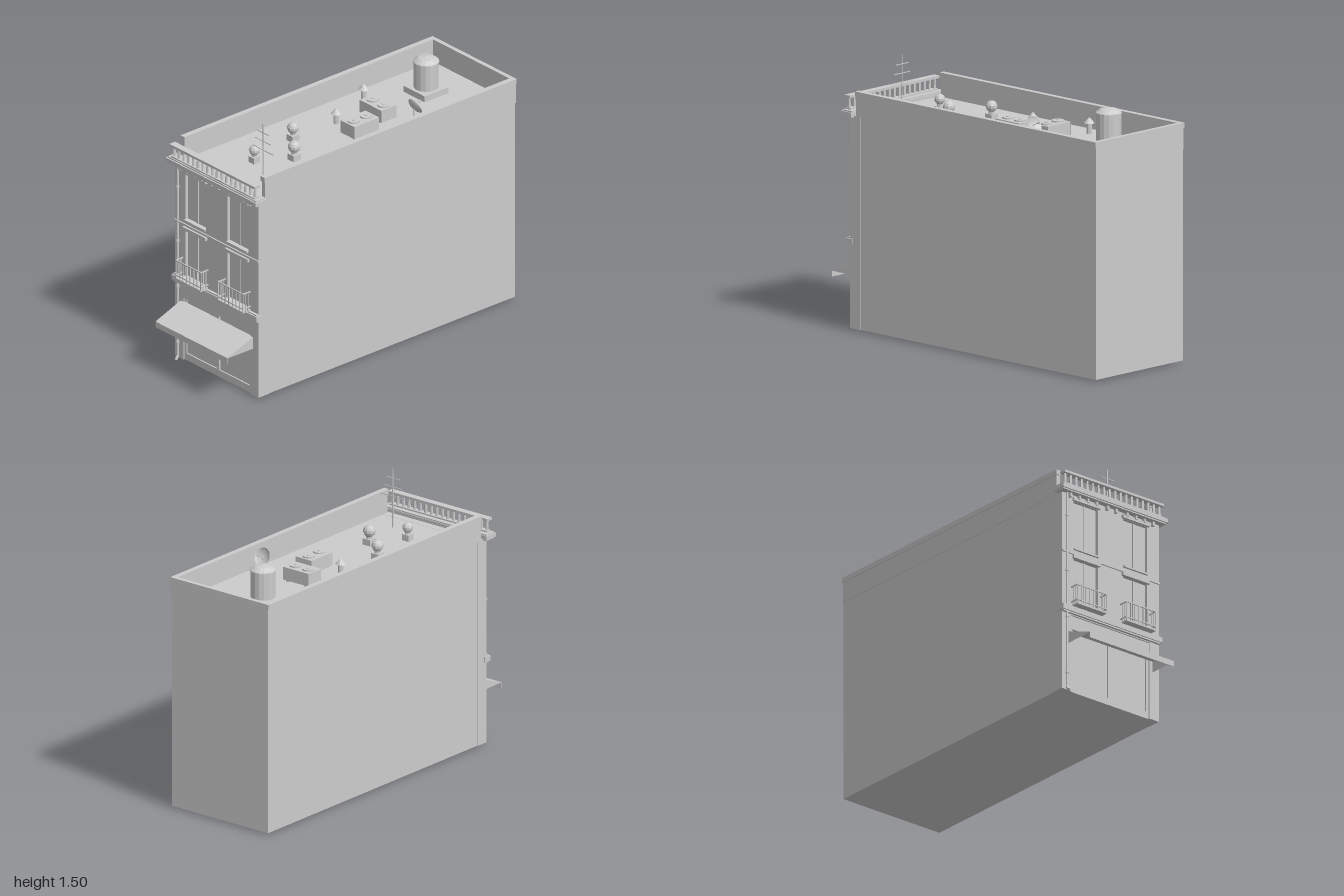
import * as THREE from 'three';

const grey = new THREE.MeshStandardMaterial({ color: 0xcccccc, flatShading: true, side: THREE.DoubleSide });
grey.name = 'stone grey';

function add(parent, name, geometry, x = 0, y = 0, z = 0) {
  const mesh = new THREE.Mesh(geometry, grey);
  mesh.name = name;
  mesh.position.set(x, y, z);
  parent.add(mesh);
  return mesh;
}

// Box given by its min and max on each axis
function box(parent, name, x0, x1, y0, y1, z0, z1) {
  return add(parent, name, new THREE.BoxGeometry(x1 - x0, y1 - y0, z1 - z0),
    (x0 + x1) / 2, (y0 + y1) / 2, (z0 + z1) / 2);
}

// Cylinder or cone standing on y
function tube(parent, name, rTop, rBottom, h, x, y, z, sides = 10) {
  return add(parent, name, new THREE.CylinderGeometry(rTop, rBottom, h, sides), x, y + h / 2, z);
}

function group(parent, name, x = 0, y = 0, z = 0) {
  const g = new THREE.Group();
  g.name = name;
  g.position.set(x, y, z);
  parent.add(g);
  return g;
}

const ROOF = 1.17;
const FRONT = 0.82;

function rectHole(x0, x1, y0, y1) {
  return new THREE.Path([[x0, y0], [x0, y1], [x1, y1], [x1, y0]].map(p => new THREE.Vector2(...p)));
}

function buildFacade(model) {
  const g = group(model, 'facade');
  // Recessed wall behind the openings
  box(g, 'recessedWall', -0.335, 0.335, 0.01, 1.17, 0.745, 0.803);

  // Front layer with shop, door and window openings
  const wall = new THREE.Shape([[-0.335, 0.01], [-0.27, 0.01], [-0.27, 0.455], [0.27, 0.455],
    [0.27, 0.01], [0.335, 0.01], [0.335, 1.17], [-0.335, 1.17]].map(p => new THREE.Vector2(...p)));
  for (const s of [-1, 1]) {
    const a = s * 0.17 - 0.083, b = s * 0.17 + 0.083;
    wall.holes.push(rectHole(a, b, 0.51, 0.79), rectHole(a, b, 0.85, 1.125));
  }
  add(g, 'frontWall', new THREE.ExtrudeGeometry(wall, { depth: 0.019, bevelEnabled: false }), 0, 0, 0.801);

  // Horizontal mouldings
  box(g, 'middleLedge', -0.335, 0.335, 0.46, 0.505, 0.8, 0.835);
  box(g, 'middleLedgeNose', -0.342, 0.342, 0.468, 0.498, 0.8, 0.842);
  box(g, 'floorBand', -0.335, 0.335, 0.812, 0.824, 0.8, 0.828);
  box(g, 'cornice', -0.355, 0.355, 1.16, 1.197, 0.79, 0.857);
  box(g, 'corniceNose', -0.362, 0.362, 1.167, 1.19, 0.785, 0.865);
  for (const x of [-0.285, -0.225, -0.165, -0.105, -0.03, 0.03, 0.105, 0.165, 0.225, 0.285])
    box(g, 'corniceBracket', x - 0.006, x + 0.006, 1.137, 1.16, 0.815, 0.84);

  // Window trim
  for (const cx of [-0.17, 0.17]) {
    for (const y of [0.79, 1.126]) box(g, 'windowHeader', cx - 0.093, cx + 0.093, y, y + 0.018, 0.81, 0.835);
    box(g, 'windowSill', cx - 0.083, cx + 0.083, 0.841, 0.851, 0.81, 0.832);
    for (const [y0, y1] of [[0.51, 0.79], [0.851, 1.125]])
      box(g, 'windowMullion', cx - 0.005, cx + 0.005, y0, y1, 0.8, 0.808);
  }
}

function buildShopfront(model) {
  const g = group(model, 'shopfront');
  box(g, 'signBoard', -0.27, 0.27, 0.375, 0.452, 0.8, 0.817);
  for (const x of [-0.262, 0, 0.262]) box(g, 'shopPost', x - 0.008, x + 0.008, 0.01, 0.375, 0.8, 0.812);
  box(g, 'shopBase', -0.262, 0.262, 0.01, 0.05, 0.8, 0.811);

  // Awning: sloped canopy with closed ends and a hanging valance
  const side = new THREE.Shape([[0.815, 0.355], [0.998, 0.287], [0.815, 0.285]].map(p => new THREE.Vector2(...p)));
  for (const x of [-0.29, 0.29])
    add(g, 'awningEnd', new THREE.ShapeGeometry(side).rotateY(-Math.PI / 2).scale(1, 1, 1), x);
  const run = 0.183, drop = 0.068;
  const top = add(g, 'awningTop', new THREE.BoxGeometry(0.58, 0.004, Math.hypot(run, drop)), 0, 0.32, 0.9065);
  top.rotation.x = Math.atan2(drop, run);
  box(g, 'awningValance', -0.29, 0.29, 0.255, 0.288, 0.996, 1.0);
}

function buildBalcony(model, cx) {
  const g = group(model, 'balcony', cx);
  const w = 0.1, z = 0.872;
  box(g, 'balconyFloor', -w, w, 0.503, 0.513, FRONT, 0.876);
  for (const y of [0.53, 0.617]) {
    box(g, 'frontRail', -w, w, y - 0.003, y + 0.003, z - 0.003, z + 0.003);
    for (const s of [-1, 1]) box(g, 'sideRail', s * w - 0.003, s * w + 0.003, y - 0.003, y + 0.003, FRONT, z);
  }
  for (let i = 0; i <= 7; i++) {
    const x = -w + i * 2 * w / 7;
    box(g, 'railBar', x - 0.0025, x + 0.0025, 0.51, 0.617, z - 0.0025, z + 0.0025);
  }
  for (const s of [-1, 1]) for (const zz of [0.838, 0.855])
    box(g, 'sideBar', s * w - 0.0025, s * w + 0.0025, 0.51, 0.617, zz - 0.0025, zz + 0.0025);
}

function buildParapet(model) {
  const g = group(model, 'parapet');
  for (const s of [-1, 1]) {
    const a = s * 0.3225;
    box(g, 'sideParapet', a - 0.0115, a + 0.0115, 1.16, 1.275, -0.998, 0.775);
    box(g, 'sideCoping', a - 0.0155, a + 0.0155, 1.275, 1.303, -1, 0.78);
  }
  box(g, 'backParapet', -0.334, 0.334, 1.16, 1.275, -0.998, -0.978);
  box(g, 'backCoping', -0.338, 0.338, 1.275, 1.303, -1, -0.975);

  // Balustrade along the street edge
  box(g, 'balustradeRail', -0.342, 0.342, 1.261, 1.275, 0.815, 0.855);
  box(g, 'balustradeBase', -0.335, 0.335, 1.195, 1.205, 0.818, 0.85);
  for (let i = 0; i < 18; i++)
    tube(g, 'baluster', 0.007, 0.009, 0.06, -0.325 + i * 0.65 / 17, 1.203, 0.835, 6);
}

function buildDrainpipe(model) {
  const g = group(model, 'drainpipe', -0.305, 0, 0.829);
  tube(g, 'pipe', 0.006, 0.006, 1.15, 0, 0.012, 0, 8);
  for (const y of [0.1, 0.43, 0.7, 1.02]) tube(g, 'pipeCollar', 0.01, 0.01, 0.012, 0, y, 0, 8);
  const foot = tube(g, 'pipeFoot', 0.007, 0.008, 0.026, 0, 0.001, 0.006, 8);
  foot.rotation.x = -0.5;
}

function buildRoof(model) {
  const g = group(model, 'roofEquipment', 0, ROOF, 0);

  // Water tank on a plinth
  const tank = group(g, 'waterTank', -0.06, 0, -0.71);
  box(tank, 'tankPlinth', -0.085, 0.085, 0, 0.035, -0.085, 0.085);
  const profile = [[0, 0.035], [0.067, 0.035], [0.067, 0.182], [0.071, 0.184], [0.07, 0.19], [0.045, 0.208], [0, 0.216]];
  add(tank, 'tankShell', new THREE.LatheGeometry(profile.map(p => new THREE.Vector2(...p)), 16));

  // Air conditioners with two fans each
  for (const [x, z, w, d] of [[-0.0175, -0.333, 0.175, 0.105], [0.065, -0.133, 0.11, 0.175]]) {
    const ac = group(g, 'airConditioner', x, 0, z);
    box(ac, 'casing', -w / 2, w / 2, 0.008, 0.08, -d / 2, d / 2);
    for (const s of [-1, 1]) {
      const fx = w > d ? s * w / 4 : 0, fz = w > d ? 0 : s * d / 4;
      tube(ac, 'fanRing', 0.034, 0.034, 0.008, fx, 0.08, fz, 12);
      tube(ac, 'fanHub', 0.01, 0.01, 0.004, fx, 0.088, fz, 8);
      box(ac, 'foot', s * w * 0.35 - 0.01, s * w * 0.35 + 0.01, 0, 0.01, -d * 0.45, d * 0.45);
    }
  }

  // Round turbine vents
  for (const [x, z, r] of [[-0.04, 0.52, 0.029], [0.075, 0.34, 0.034], [-0.1, 0.195, 0.032]]) {
    const v = group(g, 'turbineVent', x, 0, z);
    box(v, 'ventBase', -r * 0.75, r * 0.75, 0, 0.035, -r * 0.75, r * 0.75);
    tube(v, 'ventNeck', r * 0.5, r * 0.5, 0.015, 0, 0.035, 0, 8);
    add(v, 'ventBall', new THREE.SphereGeometry(r, 10, 7), 0, 0.042 + r, 0);
  }

  // Pipe vents with pointed caps
  for (const [x, z] of [[-0.1, -0.11], [-0.22, -0.41]]) {
    tube(g, 'ventPipe', 0.015, 0.015, 0.06, x, 0, z);
    tube(g, 'ventCap', 0.003, 0.029, 0.03, x, 0.058, z, 12);
  }

  // Antenna mast and cross bars
  const ant = group(g, 'antenna', 0.145, 0, 0.62);
  tube(ant, 'mast', 0.003, 0.004, 0.33, 0, 0, 0, 6);
  for (const [y, w] of [[0.175, 0.085], [0.227, 0.062], [0.277, 0.046]])
    box(ant, 'crossBar', -w, w, y - 0.002, y + 0.002, -0.002, 0.002);

  // Satellite dish tilted up toward the back
  tube(g, 'dishPost', 0.005, 0.006, 0.1, 0.195, 0, -0.4, 6);
  const dish = group(g, 'satelliteDish', 0.195, 0.113, -0.405);
  dish.rotation.x = -1.1;
  const bowl = [[0, -0.012], [0.02, -0.01], [0.037, -0.004], [0.05, 0.004]];
  add(dish, 'dishBowl', new THREE.LatheGeometry(bowl.map(p => new THREE.Vector2(...p)), 14));
  tube(dish, 'dishArm', 0.002, 0.002, 0.05, 0, -0.01, 0, 5);
  tube(dish, 'dishReceiver', 0.006, 0.006, 0.01, 0, 0.038, 0, 6);
}

export function createModel() {
  const model = new THREE.Group();
  model.name = 'townhouse';
  box(model, 'mainBlock', -0.331, 0.331, 0.01, ROOF, -0.996, 0.746);
  box(model, 'roofFrontStrip', -0.331, 0.331, 1.16, ROOF + 0.001, 0.74, 0.8);
  buildFacade(model);
  buildShopfront(model);
  for (const x of [-0.17, 0.17]) buildBalcony(model, x);
  buildParapet(model);
  buildDrainpipe(model);
  buildRoof(model);
  return model;
}
